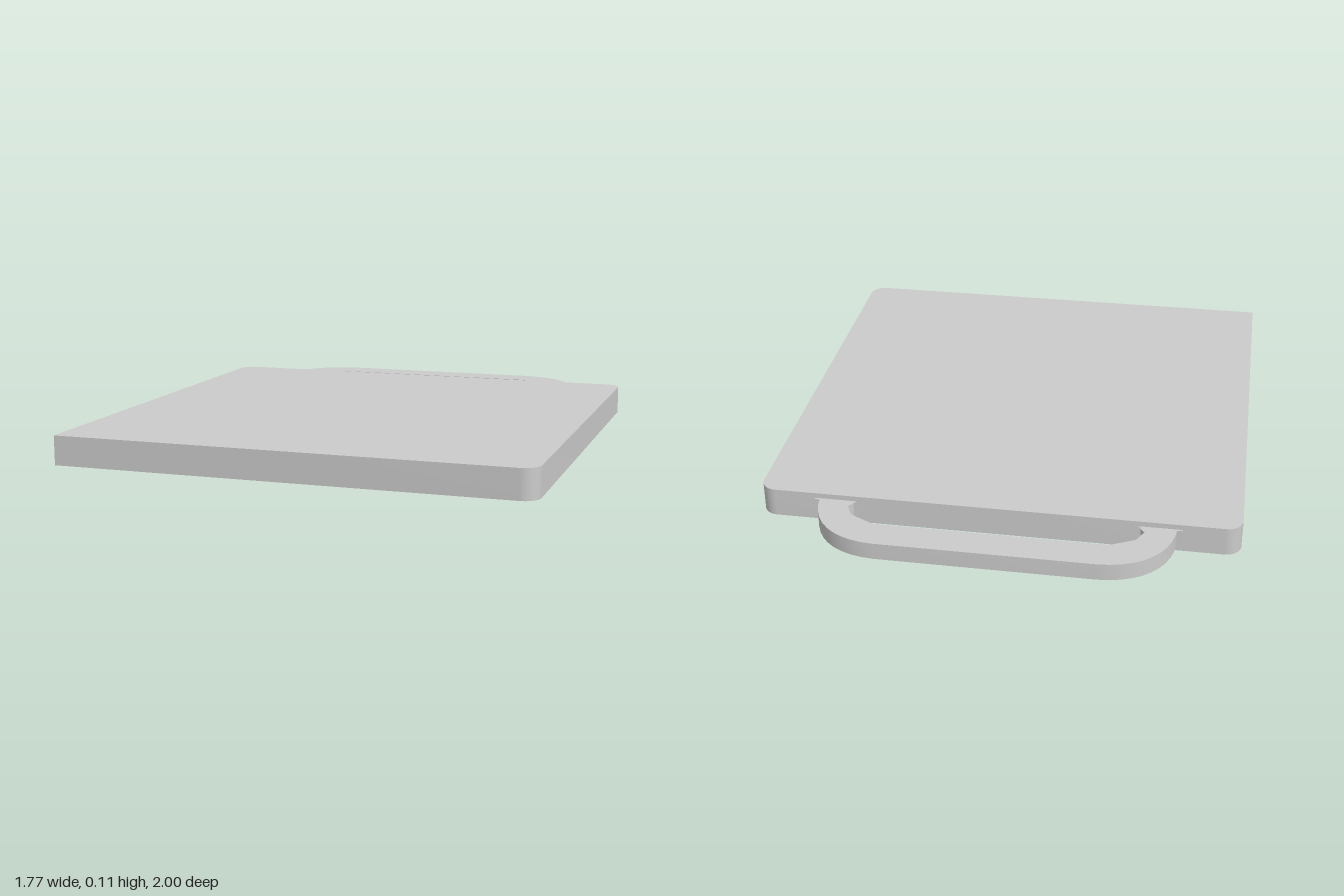
import * as THREE from 'three';
import { toCreasedNormals } from 'three/addons/utils/BufferGeometryUtils.js';

const material = new THREE.MeshStandardMaterial({ color: 0xcccccc });

// Extrude a plan outline (x, -z) upward from y0 to y1
function slab(name, shape, y0, y1) {
  const geometry = new THREE.ExtrudeGeometry(shape, { depth: y1 - y0, bevelEnabled: false, curveSegments: 10 });
  geometry.rotateX(-Math.PI / 2).translate(0, y0, 0);
  const mesh = new THREE.Mesh(toCreasedNormals(geometry, 0.5), material);
  mesh.name = name;
  return mesh;
}

export function createModel() {
  const group = new THREE.Group();

  // Flat board: three rounded corners, the front right one square
  const w = 0.885, front = -1, back = 0.75, r = 0.06;
  const board = new THREE.Shape();
  board.moveTo(-w, front);
  board.lineTo(w - r, front);
  board.absarc(w - r, front + r, r, -Math.PI / 2, 0);
  board.absarc(w - r, back - r, r, 0, Math.PI / 2);
  board.absarc(-w + r, back - r, r, Math.PI / 2, Math.PI);
  board.closePath();
  group.add(slab('board', board, 0, 0.11));

  // Carrying handle: curved outside, faceted inside
  const inner = [[0.525, 0.75], [0.525, 0.765], [0.54, 0.785], [0.515, 0.835], [0.425, 0.88]];
  const handle = new THREE.Shape();
  handle.moveTo(0.655, 0.75);
  handle.bezierCurveTo(0.645, 0.9, 0.55, 0.995, 0.395, 1);
  handle.lineTo(-0.395, 1);
  handle.bezierCurveTo(-0.55, 0.995, -0.645, 0.9, -0.655, 0.75);
  inner.forEach(([x, y]) => handle.lineTo(-x, y));
  [...inner].reverse().forEach(([x, y]) => handle.lineTo(x, y));
  handle.closePath();
  group.add(slab('handle', handle, 0.025, 0.09));

  // Thin mounting feet where the handle meets the board
  for (const side of [-1, 1]) {
    const foot = new THREE.Mesh(new THREE.BoxGeometry(0.155, 0.065, 0.012), material);
    foot.position.set(side * 0.595, 0.0575, -0.752);
    foot.name = side > 0 ? 'leftHandleFoot' : 'rightHandleFoot';
    group.add(foot);
  }
  return group;
}
